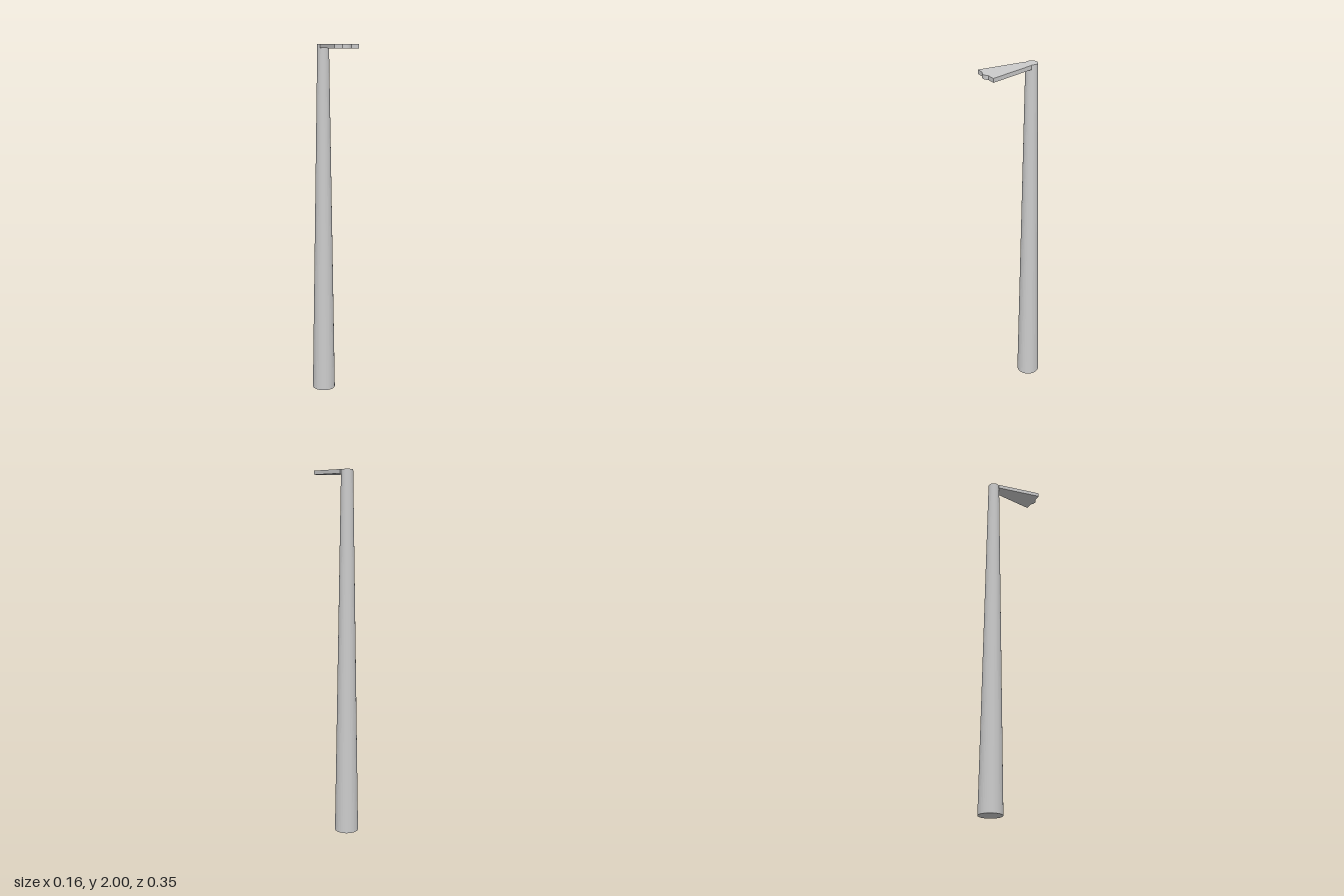
import * as THREE from 'three';

export function createModel() {
  const group = new THREE.Group();
  const material = new THREE.MeshStandardMaterial({ color: 0xcccccc, flatShading: true });
  const poleX = 0.0145, poleZ = -0.112;

  // Tapered round pole
  const pole = new THREE.Mesh(new THREE.CylinderGeometry(0.032, 0.0655, 2, 36), material);
  pole.name = 'pole';
  pole.position.set(poleX, 1, poleZ);
  group.add(pole);

  // Flat flared arm, drawn in plan (shape y = -z) with a scalloped front edge
  const plan = new THREE.Shape();
  plan.moveTo(-0.014, 0.094);
  plan.lineTo(-0.018, 0.090);
  plan.lineTo(-0.0815, -0.154);
  plan.lineTo(-0.037, -0.160);
  plan.bezierCurveTo(-0.027, -0.178, 0.0, -0.180, 0.015, -0.165);
  plan.lineTo(0.0595, -0.170);
  plan.lineTo(0.0435, 0.085);
  plan.lineTo(0.038, 0.090);
  plan.closePath();
  const armGeometry = new THREE.ExtrudeGeometry(plan, { depth: 0.022, bevelEnabled: false, curveSegments: 10 });
  armGeometry.rotateX(-Math.PI / 2);
  const arm = new THREE.Mesh(armGeometry, material);
  arm.name = 'flaredArm';
  arm.position.y = 1.978;
  group.add(arm);

  return group;
}
